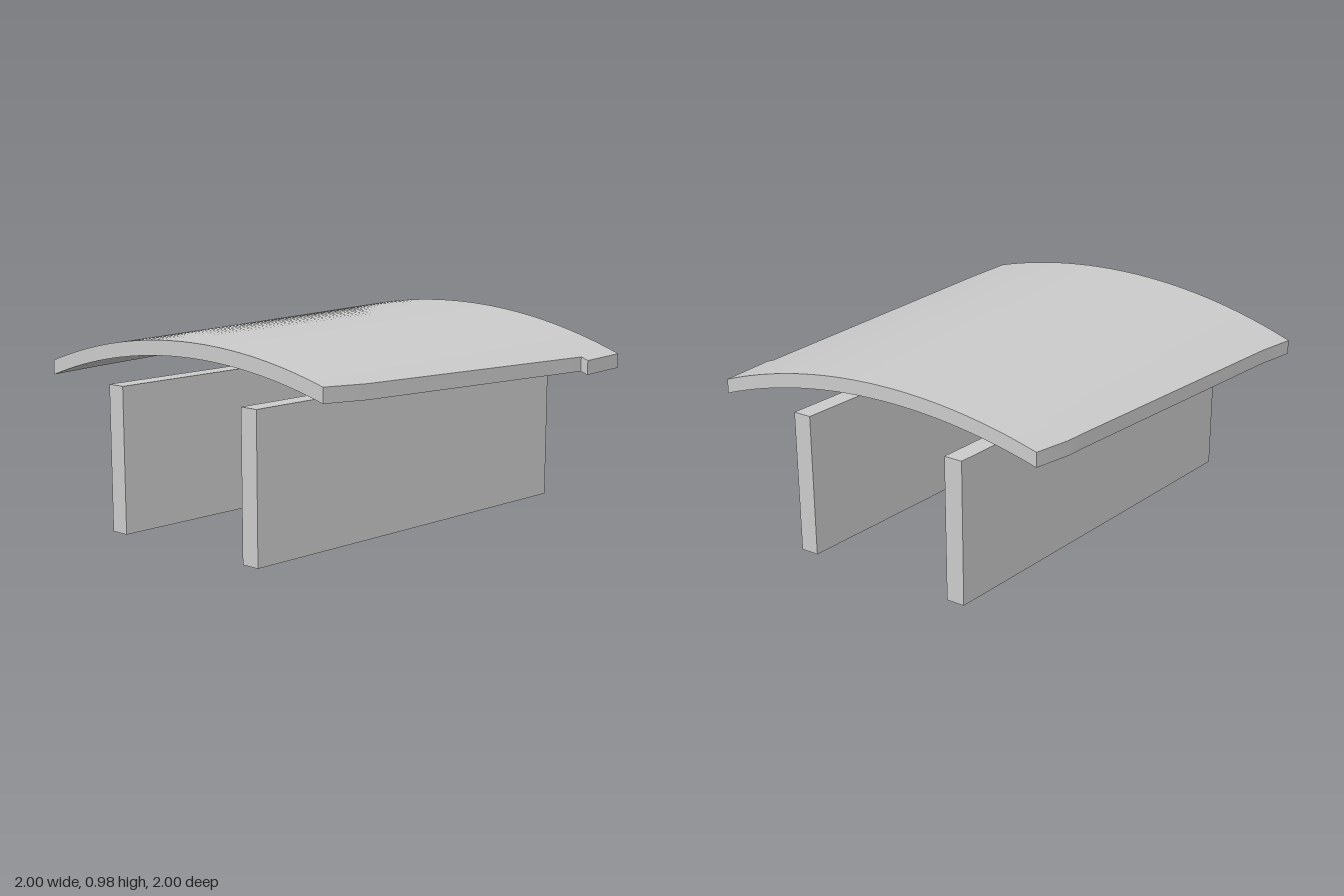
import * as THREE from 'three';
import { toCreasedNormals } from 'three/addons/utils/BufferGeometryUtils.js';

const RADIUS = 2.795, CROWN = 0.98, THICK = 0.072, COLS = 32;
const archY = (x) => CROWN - RADIUS + Math.sqrt(RADIUS * RADIUS - x * x);

// Plan outline of the roof, front to back: z, left edge, right edge, outer edge of the lip
const STATIONS = [
  [1, -1, 0.775, 0.775],
  [0.76, -0.967, 0.817, 0.817],
  [-0.715, -0.82, 0.962, 0.962],
  [-0.715, -0.82, 0.962, 1],
  [-0.8, -0.813, 0.968, 1],
  [-1, -0.778, 0.985, 1],
];

function roofGeometry() {
  // Closed cross-section: top left to right, then underside back again
  const rings = STATIONS.map(([z, left, right, outer]) => {
    const xs = [];
    for (let i = 0; i <= COLS; i++) xs.push(left + ((right - left) * i) / COLS);
    xs.push(outer);
    const row = (drop) => xs.map((x) => {
      // front edge is very slightly out of square
      const zz = z === 1 ? 0.99 + 0.01 * (x + 1) / 1.775 : z;
      return new THREE.Vector3(x, archY(x) - drop, zz);
    });
    return [...row(0), ...row(THICK).reverse()];
  });

  const points = [];
  const tri = (...t) => {
    if (new THREE.Triangle(...t).getArea() > 1e-7) points.push(...t);
  };
  const quad = (a, b, c, d) => { tri(a, b, c); tri(a, c, d); };

  const n = rings[0].length;
  for (let s = 0; s < rings.length - 1; s++) {
    const a = rings[s], b = rings[s + 1];
    for (let i = 0; i < n; i++) {
      const j = (i + 1) % n;
      quad(a[i], a[j], b[j], b[i]);
    }
  }

  // End faces
  const front = rings[0], back = rings[rings.length - 1];
  for (let i = 0; i < n / 2 - 1; i++) {
    const k = n - 1 - i;
    quad(front[i], front[k], front[k - 1], front[i + 1]);
    quad(back[i + 1], back[k - 1], back[k], back[i]);
  }

  return toCreasedNormals(new THREE.BufferGeometry().setFromPoints(points), Math.PI / 6);
}

// Upright slab skewed in plan so it runs parallel to the roof's sides
function wallGeometry() {
  const geometry = new THREE.BoxGeometry(0.094, 0.725, 2);
  const skew = new THREE.Matrix4().set(1, 0, -0.097, 0, 0, 1, 0, 0, 0, 0, 1, 0, 0, 0, 0, 1);
  return geometry.applyMatrix4(skew);
}

export function createModel() {
  const group = new THREE.Group();
  const material = new THREE.MeshStandardMaterial({ color: 0xcccccc });

  const roof = new THREE.Mesh(roofGeometry(), material);
  roof.name = 'archedRoof';
  group.add(roof);

  // Pair of supporting walls
  for (const side of [-1, 1]) {
    const wall = new THREE.Mesh(wallGeometry(), material);
    wall.name = side > 0 ? 'leftWall' : 'rightWall';
    wall.position.set(side * 0.436, 0.3625, 0);
    group.add(wall);
  }
  return group;
}
